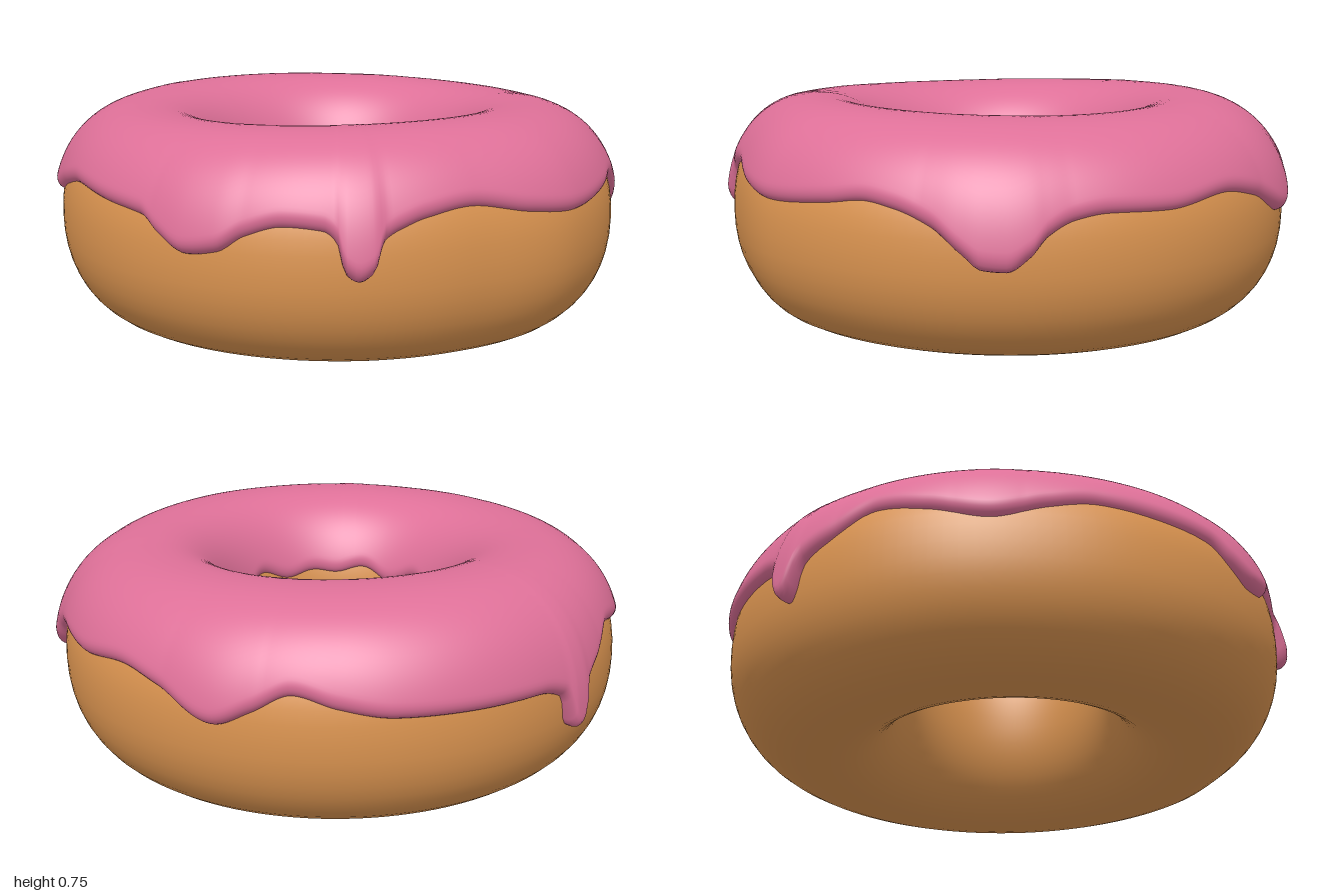
import * as THREE from 'three';

const RAD = Math.PI / 180;
const spow = (v, p) => Math.sign(v) * Math.abs(v) ** p;

// Smooth periodic curve without overshoot through flat [degrees, value, ...] pairs.
function periodic(flat) {
  const n = flat.length / 2;
  const X = (i) => flat[2 * (((i % n) + n) % n)] + 360 * Math.floor(i / n);
  const Y = (i) => flat[2 * (((i % n) + n) % n) + 1];
  const slope = (i) => (Y(i + 1) - Y(i)) / (X(i + 1) - X(i));
  const tangent = (i) => {
    const a = slope(i - 1), b = slope(i);
    return a * b <= 0 ? 0 : (2 * a * b) / (a + b);
  };
  return (deg) => {
    let i = 0;
    while (i < n - 1 && X(i + 1) <= deg) i++;
    const h = X(i + 1) - X(i), t = (deg - X(i)) / h, t2 = t * t, t3 = t2 * t;
    return (2 * t3 - 3 * t2 + 1) * Y(i) + (t3 - 2 * t2 + t) * h * tangent(i)
      + (3 * t2 - 2 * t3) * Y(i + 1) + (t3 - t2) * h * tangent(i + 1);
  };
}

// Angles run from the front (+z) towards +x.
const outerRadius = periodic([0, 0.965, 45, 0.965, 90, 0.975, 135, 0.972, 175, 0.962,
  215, 0.945, 237, 0.93, 270, 0.942, 310, 0.935, 336, 0.928]);

// Height of the icing's outer rim, with its drips.
const rimHeight = periodic([0, 0.48, 15, 0.5, 22, 0.515, 28, 0.5, 35, 0.455, 40, 0.385,
  44, 0.335, 48, 0.33, 52, 0.37, 55, 0.43, 60, 0.475, 66, 0.49, 78, 0.485, 92, 0.51,
  102, 0.48, 114, 0.4, 121, 0.45, 128, 0.505, 136, 0.47, 146, 0.44, 158, 0.435,
  175, 0.43, 181, 0.4, 182.5, 0.31, 184, 0.29, 185.5, 0.31, 187.5, 0.4, 194, 0.46,
  203, 0.525, 213, 0.495, 225, 0.447, 236, 0.497, 246, 0.53, 261, 0.515, 271, 0.5,
  276, 0.45, 282, 0.405, 288, 0.42, 293, 0.47, 300, 0.5, 307, 0.49, 309.5, 0.46,
  311, 0.37, 313.4, 0.345, 316, 0.37, 318, 0.46, 322, 0.495, 326, 0.515, 335, 0.535,
  348, 0.5]);

const holeRimHeight = (deg) => 0.485 + 0.013 * Math.sin(11 * deg * RAD)
  + 0.01 * Math.sin(7 * deg * RAD + 1);

// Cross-section of the ring.
const MID = 0.645, CENTRE = 0.365, HALF = 0.35, POWER = 2.2;

// Point on the ring at a turn angle and section angle phi, raised by offset.
function ringPoint(deg, phi, offset) {
  const a = deg * RAD, c = spow(Math.cos(phi), 2 / POWER), s = spow(Math.sin(phi), 2 / POWER);
  const hole = 0.352 + 0.02 * Math.sin(a) + 0.01 * Math.cos(a);
  const half = c > 0 ? outerRadius(deg) - MID : MID - hole;
  const r = MID + (half + offset) * c;
  const wave = s > 0 ? 0.008 * Math.cos(2 * (a + 0.35)) : 0.014 * Math.sin(a);
  return [r * Math.sin(a), CENTRE + (HALF + offset) * s + wave * s, r * Math.cos(a)];
}

// Section angle where the surface reaches height y on the outer side.
const phiAt = (y) => Math.asin(spow((y - CENTRE) / HALF, POWER / 2));

// Grid surface closed around the turn; rows may also close on themselves.
function ringSurface(turns, rows, closed, pointAt) {
  const pos = [], index = [], n = closed ? rows : rows + 1;
  for (let i = 0; i < turns; i++)
    for (let j = 0; j < n; j++) pos.push(...pointAt((360 * i) / turns, j / rows));
  for (let i = 0; i < turns; i++)
    for (let j = 0; j < rows; j++) {
      const i2 = (i + 1) % turns, j2 = (j + 1) % n;
      const a = i * n + j, b = i2 * n + j, c = i2 * n + j2, d = i * n + j2;
      index.push(a, b, c, a, c, d);
    }
  const g = new THREE.BufferGeometry();
  g.setAttribute('position', new THREE.Float32BufferAttribute(pos, 3));
  g.setIndex(index);
  g.computeVertexNormals();
  return g;
}

// Icing sheet: rounded lips at both rims, thicker where it drips.
function icingPoint(deg, v) {
  const rim = rimHeight(deg);
  const from = phiAt(rim), to = Math.PI - phiAt(holeRimHeight(deg));
  const u = 0.5 - 0.5 * Math.cos(Math.PI * v);
  const phi = from + (to - from) * u;
  const dOut = phi - from, dEnd = Math.min(dOut, to - phi);
  const drip = 0.2 * Math.max(0, 0.47 - rim) * Math.exp(-dOut / 0.5);
  const hole = THREE.MathUtils.smoothstep(phi, 1.8, 2.6);
  const thick = 0.026 + drip - 0.006 * hole;
  const k = THREE.MathUtils.clamp(dEnd / 0.12, 0, 1);
  return ringPoint(deg, phi, -0.006 + (thick + 0.006) * Math.sqrt(k * (2 - k)));
}

export function createModel() {
  const group = new THREE.Group();
  group.name = 'donut';
  const add = (name, geometry, color) => {
    const mesh = new THREE.Mesh(geometry, new THREE.MeshStandardMaterial({ color }));
    mesh.name = name;
    group.add(mesh);
  };
  add('dough', ringSurface(128, 48, true, (deg, v) => ringPoint(deg, v * 2 * Math.PI, 0)), 0xdb9450);
  add('icing', ringSurface(480, 56, false, icingPoint), 0xde7098);
  return group;
}
